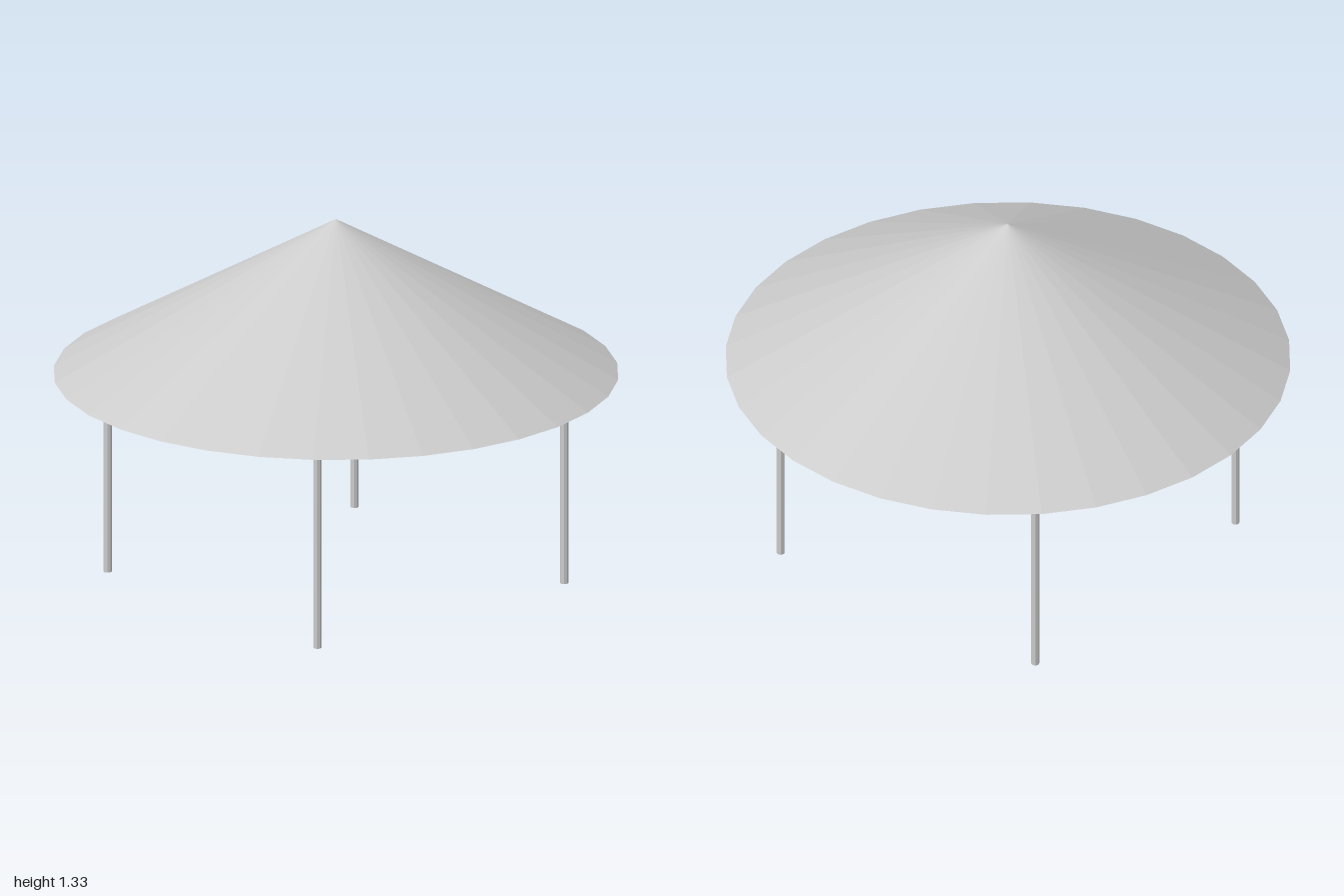
import * as THREE from 'three';

const ROOF_BASE = 0.759, ROOF_HEIGHT = 0.571;
const POST_HEIGHT = 0.86, POST_RADIUS = 0.0145, POST_OFFSET = 0.572;

export function createModel() {
  const group = new THREE.Group();
  group.name = 'pavilion';
  const material = new THREE.MeshStandardMaterial({ color: 0xcccccc, flatShading: true });

  // Wide conical roof, closed underneath
  const roof = new THREE.Mesh(new THREE.ConeGeometry(1, ROOF_HEIGHT, 32), material);
  roof.name = 'roof';
  roof.position.y = ROOF_BASE + ROOF_HEIGHT / 2;
  group.add(roof);

  // Four slender eight-sided posts, reaching up into the roof
  const postGeometry = new THREE.CylinderGeometry(POST_RADIUS, POST_RADIUS, POST_HEIGHT, 8);
  for (const sx of [-1, 1]) {
    for (const sz of [-1, 1]) {
      const post = new THREE.Mesh(postGeometry, material);
      post.name = `${sz > 0 ? 'front' : 'back'}${sx > 0 ? 'Left' : 'Right'}Post`;
      post.position.set(sx * POST_OFFSET, POST_HEIGHT / 2, sz * POST_OFFSET);
      group.add(post);
    }
  }
  return group;
}
